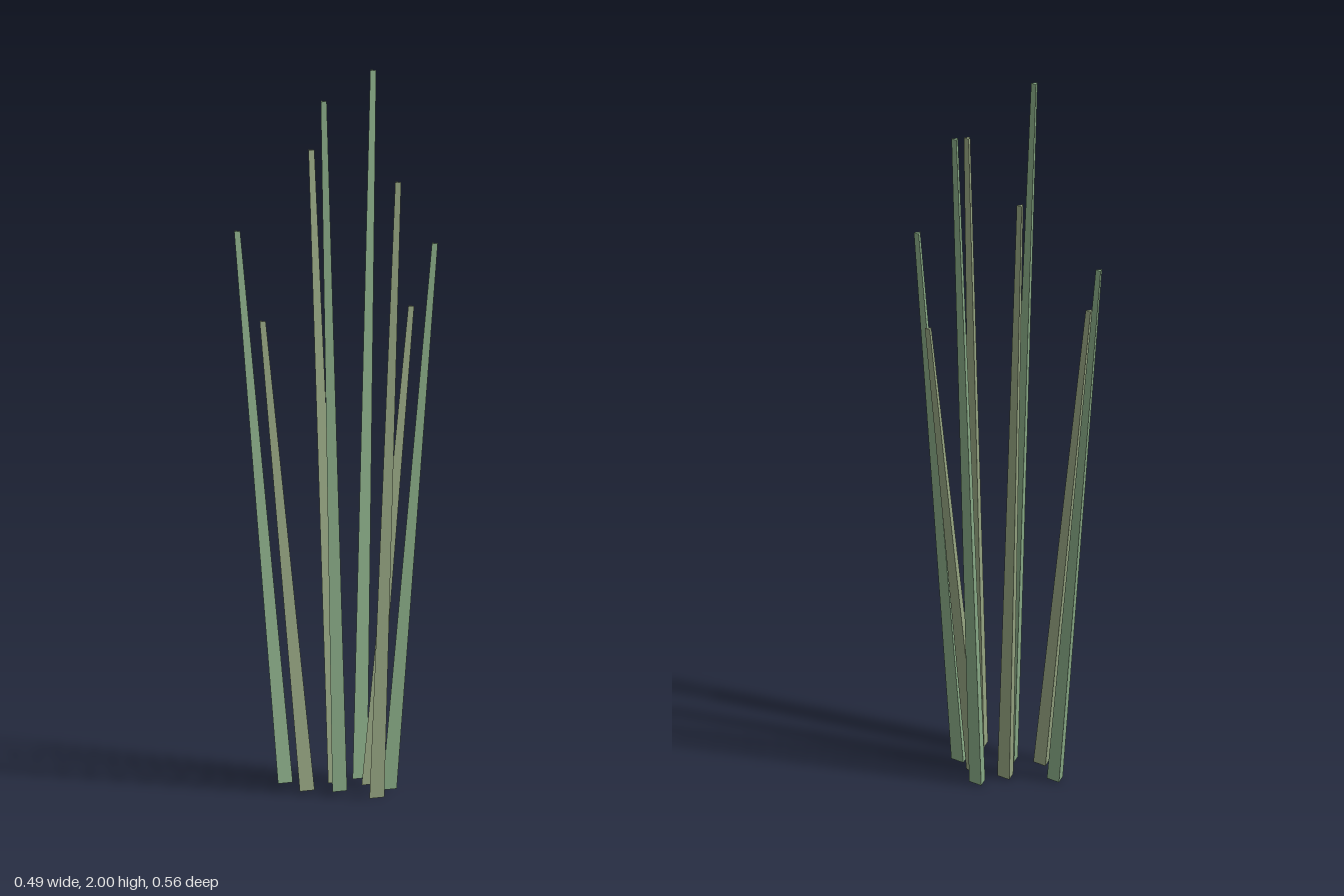
import * as THREE from 'three';

const BASE_R = 0.027, TIP_R = 0.0108;

// Tapered three-sided stalk with level ends, leaning from its foot to its tip
function stalk([x0, z0], [x1, z1], height, material) {
  const geo = new THREE.CylinderGeometry(TIP_R, BASE_R, height, 3, 1, false, Math.PI);
  geo.translate(0, height / 2, 0);
  const p = geo.attributes.position;
  for (let i = 0; i < p.count; i++) {
    const t = p.getY(i) / height;
    p.setX(i, p.getX(i) + THREE.MathUtils.lerp(x0, x1, t));
    p.setZ(i, p.getZ(i) + THREE.MathUtils.lerp(z0, z1, t));
  }
  geo.computeVertexNormals();
  return new THREE.Mesh(geo, material);
}

export function createModel() {
  const model = new THREE.Group();
  model.name = 'reedClump';
  const green = new THREE.MeshStandardMaterial({ color: 0x86a884, flatShading: true });
  const olive = new THREE.MeshStandardMaterial({ color: 0x93a27f, flatShading: true });

  // Each stalk: name, foot (x, z), tip (x, z), height, colour
  const stalks = [
    ['frontStalk', [0.027, 0.136], [0.027, 0.273], 1.785, olive],
    ['backStalk', [0.027, -0.114], [0.027, -0.252], 1.785, olive],
    ['leftStalk', [0.097, -0.045], [0.235, -0.045], 1.355, olive],
    ['rightStalk', [-0.099, -0.045], [-0.236, -0.045], 1.355, olive],
    ['frontLeftStalk', [0.115, 0.044], [0.212, 0.142], 1.57, green],
    ['backRightStalk', [-0.101, -0.173], [-0.199, -0.27], 1.57, green],
    ['frontRightStalk', [-0.022, 0.005], [-0.12, 0.103], 2, green],
    ['backLeftStalk', [0.115, -0.134], [0.212, -0.231], 2, green],
  ];
  for (const [name, foot, tip, height, material] of stalks) {
    const mesh = stalk(foot, tip, height, material);
    mesh.name = name;
    model.add(mesh);
  }
  return model;
}
